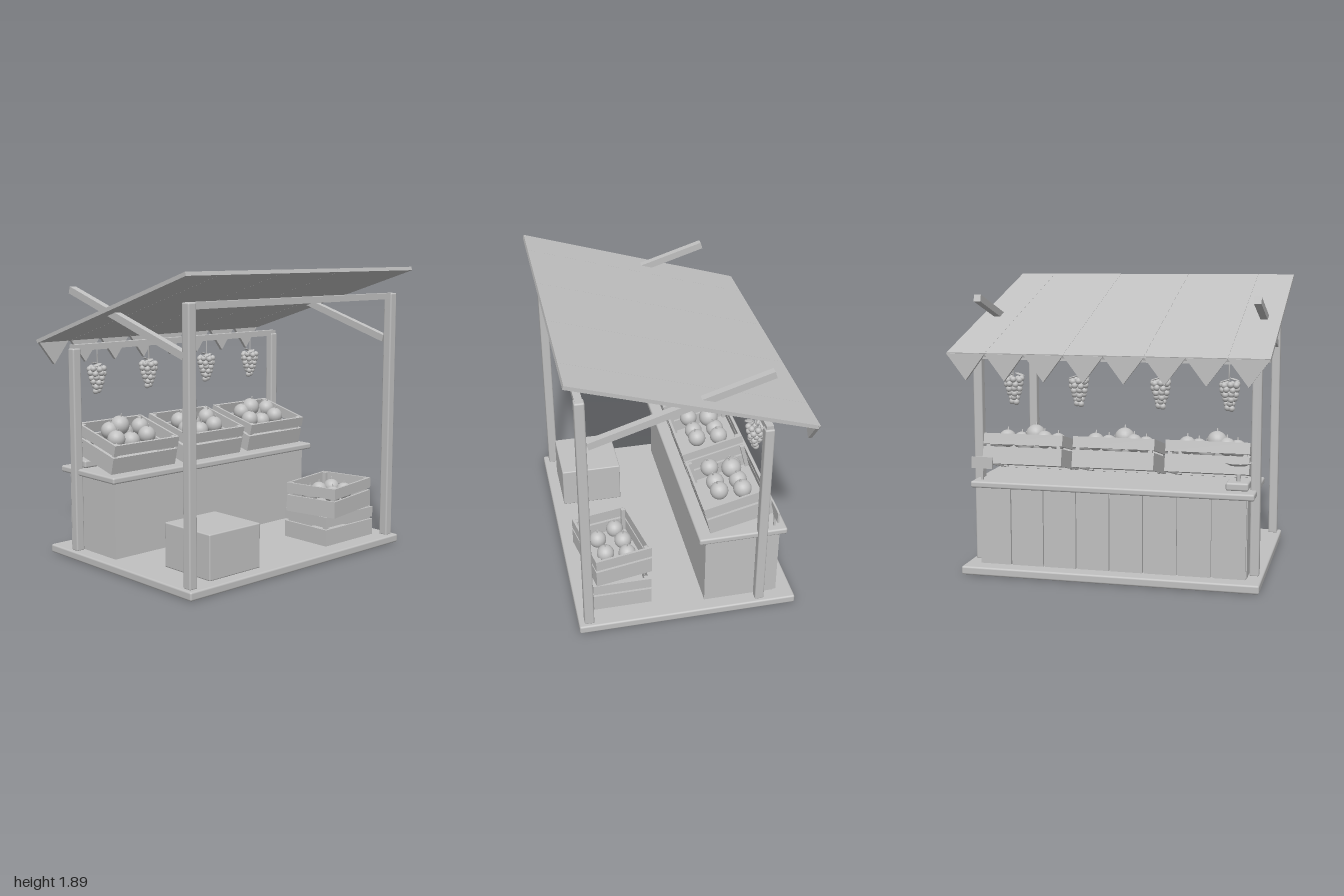
import * as THREE from 'three';
import { RoundedBoxGeometry } from 'three/addons/geometries/RoundedBoxGeometry.js';

const grey = new THREE.MeshStandardMaterial({ color: 0xc0c0c0 });
grey.name = 'plain grey';

function add(parent, name, geometry, x = 0, y = 0, z = 0) {
  const mesh = new THREE.Mesh(geometry, grey);
  mesh.name = name;
  mesh.position.set(x, y, z);
  parent.add(mesh);
  return mesh;
}

function group(parent, name, x = 0, y = 0, z = 0) {
  const g = new THREE.Group();
  g.name = name;
  g.position.set(x, y, z);
  parent.add(g);
  return g;
}

const box = (w, h, d) => new THREE.BoxGeometry(w, h, d);
const rounded = (w, h, d, r = 0.01) => new RoundedBoxGeometry(w, h, d, 2, r);

// Slatted crate, origin at the centre of its underside
function addCrate(parent, name, w, d, x, y, z) {
  const crate = group(parent, name, x, y, z);
  const t = 0.016;
  add(crate, 'crateBottom', box(w - 2 * t, 0.015, d - 2 * t), 0, 0.02, 0);
  for (const [bottom, h] of [[0, 0.11], [0.125, 0.07]]) {
    for (const s of [-1, 1]) {
      add(crate, 'longSlat', box(w, h, t), 0, bottom + h / 2, s * (d - t) / 2);
      add(crate, 'endSlat', box(t, h, d - 2 * t), s * (w - t) / 2, bottom + h / 2, 0);
    }
  }
  for (const sx of [-1, 1]) {
    for (const sz of [-1, 1]) {
      add(crate, 'cornerPost', box(0.025, 0.19, 0.025), sx * (w / 2 - t - 0.0125), 0.097, sz * (d / 2 - t - 0.0125));
    }
  }
  return crate;
}

// Round fruit with a short stem
function addFruit(parent, r, x, y, z) {
  const fruit = group(parent, 'fruit', x, y, z);
  add(fruit, 'fruitBody', new THREE.SphereGeometry(r, 20, 14));
  add(fruit, 'fruitStem', new THREE.CylinderGeometry(0.004, 0.006, 0.025, 6), 0, r + 0.006, 0);
}

// Hanging bunch of grapes, origin at the top of its cord
function addGrapes(parent, x, y, z) {
  const bunch = group(parent, 'grapeBunch', x, y, z);
  add(bunch, 'cord', new THREE.CylinderGeometry(0.004, 0.004, 0.13, 6), 0.005, -0.065, 0);
  const layers = [[7, 0.047], [7, 0.045], [6, 0.038], [5, 0.03], [3, 0.02], [2, 0.013]];
  layers.forEach(([n, ring], i) => {
    for (let k = 0; k < n; k++) {
      const a = (k / n) * Math.PI * 2 + i * 0.6;
      add(bunch, 'grape', new THREE.SphereGeometry(0.02, 12, 8), ring * Math.cos(a), -0.13 - i * 0.029 + 0.005 * (k % 2), ring * Math.sin(a));
    }
  });
  for (const s of [-1, 1]) {
    const leaf = add(bunch, 'leaf', new THREE.SphereGeometry(0.035, 8, 5), s * 0.025, -0.1, s * -0.04);
    leaf.scale.set(1, 0.15, 0.8);
    leaf.rotation.z = -s * 0.3;
  }
}

export function createModel() {
  const stall = new THREE.Group();
  stall.name = 'marketStall';

  add(stall, 'floor', rounded(1.9, 0.055, 1.42, 0.012), 0, 0.0275, 0.01);

  // Frame
  for (const s of [-1, 1]) {
    add(stall, 'frontPost', rounded(0.06, 1.665, 0.062), s * 0.895, 0.8825, 0.653);
    add(stall, 'rearPost', rounded(0.06, 1.33, 0.06), s * 0.895, 0.715, -0.465);
    const brace = add(stall, 'roofBrace', box(0.045, 0.045, 1.15), s * 0.89, 1.58, 0.067);
    brace.rotation.x = 0.302;
  }
  add(stall, 'frontBeam', box(1.79, 0.04, 0.045), 0, 1.695, 0.653);
  add(stall, 'rearBeam', box(1.83, 0.04, 0.045), 0, 1.383, -0.465);

  // Sloping roof in cloth panels
  const roof = group(stall, 'roof', 0, 1.645, 0.005);
  roof.rotation.x = -0.304;
  for (const [x, w] of [[-0.875, 0.25], [-0.5, 0.5], [0, 0.5], [0.5, 0.5], [0.875, 0.25]]) {
    add(roof, 'roofPanel', box(w - 0.001, 0.024, 1.552), x, 0, 0);
  }

  // Triangular bunting along the low edge
  const flag = new THREE.Shape([[-0.125, 0], [0, -0.165], [0.125, 0]].map(p => new THREE.Vector2(...p)));
  const flagGeometry = new THREE.ExtrudeGeometry(flag, { depth: 0.025, bevelEnabled: false });
  for (let i = 0; i < 8; i++) add(stall, 'bunting', flagGeometry, -0.875 + i * 0.25, 1.42, -0.745);

  // Counter with upright planks on the customer side
  add(stall, 'counterBody', box(1.72, 0.5, 0.465), 0, 0.305, -0.3425);
  for (let i = 0; i < 8; i++) {
    add(stall, 'counterPlank', box(0.203, 0.5, 0.02), -0.7525 + i * 0.215, 0.305, -0.585);
  }
  add(stall, 'counterTop', rounded(1.81, 0.042, 0.57, 0.012), 0, 0.575, -0.345);

  // Tilted display crates
  for (const x of [-0.598, -0.003, 0.592]) {
    const crate = addCrate(stall, 'displayCrate', 0.525, 0.415, x, 0.65, -0.342);
    crate.rotation.x = 0.245;
    for (const z of [-0.07, 0.07]) {
      for (const i of [-1, 0, 1]) {
        addFruit(crate, 0.058, i * 0.125 + (z < 0 ? 0.025 : -0.025), i ? 0.175 : 0.15, z);
      }
    }
    addFruit(crate, 0.064, -0.035, 0.21, -0.055);
  }

  // Stacked floor crates
  addCrate(stall, 'lowerFloorCrate', 0.475, 0.375, 0.572, 0.058, 0.418);
  const upper = addCrate(stall, 'upperFloorCrate', 0.473, 0.375, 0.545, 0.257, 0.44);
  upper.rotation.y = 0.183;
  for (const [x, z] of [[-0.13, -0.07], [0, -0.08], [0.13, -0.06], [-0.07, 0.07], [0.08, 0.07]]) {
    addFruit(upper, 0.056, x, 0.115, z);
  }

  add(stall, 'storageBox', rounded(0.42, 0.285, 0.415, 0.008), -0.525, 0.2, 0.437);

  for (const x of [-0.725, -0.295, 0.23, 0.66]) addGrapes(stall, x, 1.365, -0.46);

  // Weighing scale
  const scale = group(stall, 'scale', -0.79, 0.596, -0.49);
  add(scale, 'scaleBase', rounded(0.14, 0.05, 0.14, 0.012), 0, 0.027, 0);
  add(scale, 'scaleColumn', new THREE.CylinderGeometry(0.014, 0.014, 0.11, 10), 0, 0.1, 0);
  add(scale, 'scalePan', new THREE.CylinderGeometry(0.09, 0.065, 0.016, 24), 0, 0.163, 0);

  // Small sign at the end of the counter
  add(stall, 'smallSign', box(0.14, 0.075, 0.012), 0.85, 0.705, -0.557);
  add(stall, 'signStand', box(0.015, 0.08, 0.012), 0.85, 0.63, -0.557);

  return stall;
}
